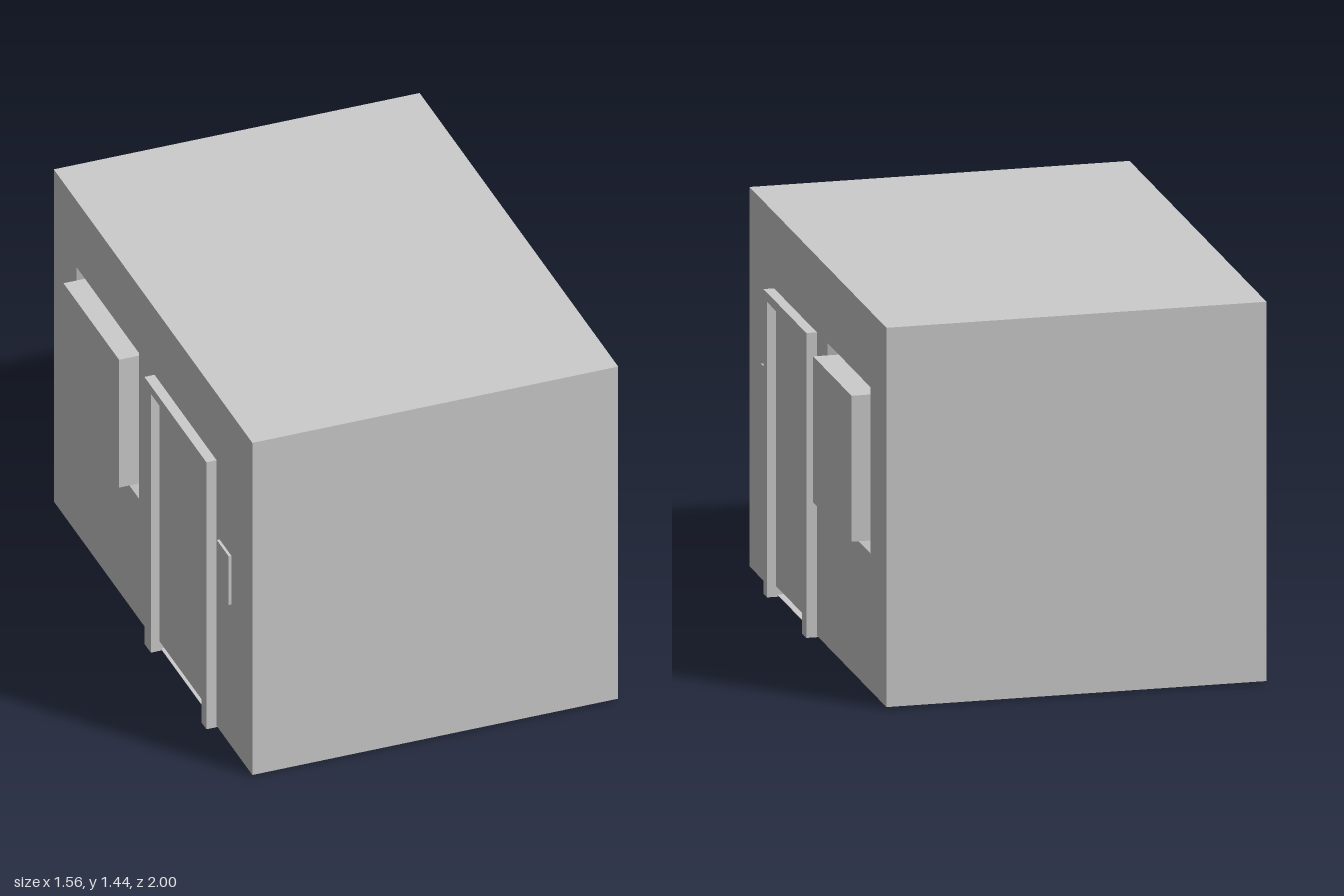
import * as THREE from 'three';

const mat = new THREE.MeshStandardMaterial({ color: 0xcccccc, flatShading: true });
const thinMat = new THREE.MeshStandardMaterial({ color: 0xcccccc, flatShading: true, side: THREE.DoubleSide });

const X = 0.717, BOTTOM = 0.008, TOP = 1.443, WALL = 0.05;
const DOOR = { z0: 0.08, z1: 0.59, top: 1.12 };
const FRAME = { z0: 0.015, z1: 0.64, top: 1.155 };
const WINDOW = { z: -0.455, y: 0.841, size: 0.63 };

// Box given by its limits on each axis
function box(name, x0, x1, y0, y1, z0, z1) {
  const mesh = new THREE.Mesh(new THREE.BoxGeometry(Math.abs(x1 - x0), y1 - y0, z1 - z0), mat);
  mesh.position.set((x0 + x1) / 2, (y0 + y1) / 2, (z0 + z1) / 2);
  mesh.name = name;
  return mesh;
}

// Extrude a (-z, y) outline sideways, between x0 and x0 + depth
function sideways(name, shape, x0, depth) {
  const geo = new THREE.ExtrudeGeometry(shape, { depth, bevelEnabled: false });
  geo.rotateY(Math.PI / 2);
  geo.translate(x0, 0, 0);
  const mesh = new THREE.Mesh(geo, mat);
  mesh.name = name;
  return mesh;
}

const outline = (pts) => new THREE.Shape(pts.map(([z, y]) => new THREE.Vector2(-z, y)));

function createSide(s) {
  const side = new THREE.Group();
  side.name = s > 0 ? 'leftSide' : 'rightSide';

  // Wall with a doorway and a square window opening
  const wall = outline([
    [1, BOTTOM], [DOOR.z1, BOTTOM], [DOOR.z1, DOOR.top], [DOOR.z0, DOOR.top],
    [DOOR.z0, BOTTOM], [-1, BOTTOM], [-1, TOP], [1, TOP],
  ]);
  const h = WINDOW.size / 2, { z, y } = WINDOW;
  wall.holes.push(new THREE.Path([[-h, -h], [h, -h], [h, h], [-h, h]]
    .map(([a, b]) => new THREE.Vector2(-z + a, y + b))));
  side.add(sideways('sideWall', wall, s > 0 ? X - WALL : -X, WALL));

  // Tapered window reveal with its back and the projecting pane
  const reveal = new THREE.CylinderGeometry(Math.SQRT1_2, Math.SQRT1_2 * 0.95, WALL, 4, 1, true);
  reveal.rotateY(Math.PI / 4);
  reveal.scale(WINDOW.size, 1, WINDOW.size);
  reveal.rotateZ(-s * Math.PI / 2);
  const revealMesh = new THREE.Mesh(reveal, thinMat);
  revealMesh.position.set(s * (X - WALL / 2), y, z);
  revealMesh.name = 'windowReveal';
  side.add(revealMesh);
  side.add(box('windowBack', s * (X - WALL - 0.01), s * (X - WALL), y - h, y + h, z - h, z + h));
  side.add(box('windowPane', s * (X - WALL), s * 0.781, 0.567, 1.12, -0.738, -0.178));

  // Door frame, standing a little lower than the wall
  const frame = outline([
    [FRAME.z1, 0], [DOOR.z1, 0], [DOOR.z1, DOOR.top], [DOOR.z0, DOOR.top],
    [DOOR.z0, 0], [FRAME.z0, 0], [FRAME.z0, FRAME.top], [FRAME.z1, FRAME.top],
  ]);
  side.add(sideways('doorFrame', frame, s > 0 ? 0.69 : -0.757, 0.067));

  // Door leaf, with a gap under it
  side.add(box('doorLeaf', s * 0.69, s * 0.722, 0.04, DOOR.top, DOOR.z0, DOOR.z1));

  // Small panel beside the door
  side.add(box('wallPanel', s * (X - 0.01), s * 0.728, 0.62, 0.83, 0.67, 0.79));
  return side;
}

export function createModel() {
  const model = new THREE.Group();
  model.name = 'cabin';

  // End walls, roof and floor close the hollow room
  const inX = X - WALL;
  model.add(box('frontWall', -inX, inX, BOTTOM, TOP, 1 - WALL, 1));
  model.add(box('backWall', -inX, inX, BOTTOM, TOP, -1, -1 + WALL));
  model.add(box('roof', -inX, inX, TOP - WALL, TOP, -1 + WALL, 1 - WALL));
  model.add(box('floor', -X, X, BOTTOM - 0.002, BOTTOM, -1, 1));

  // Matching sides
  for (const s of [1, -1]) model.add(createSide(s));
  return model;
}
